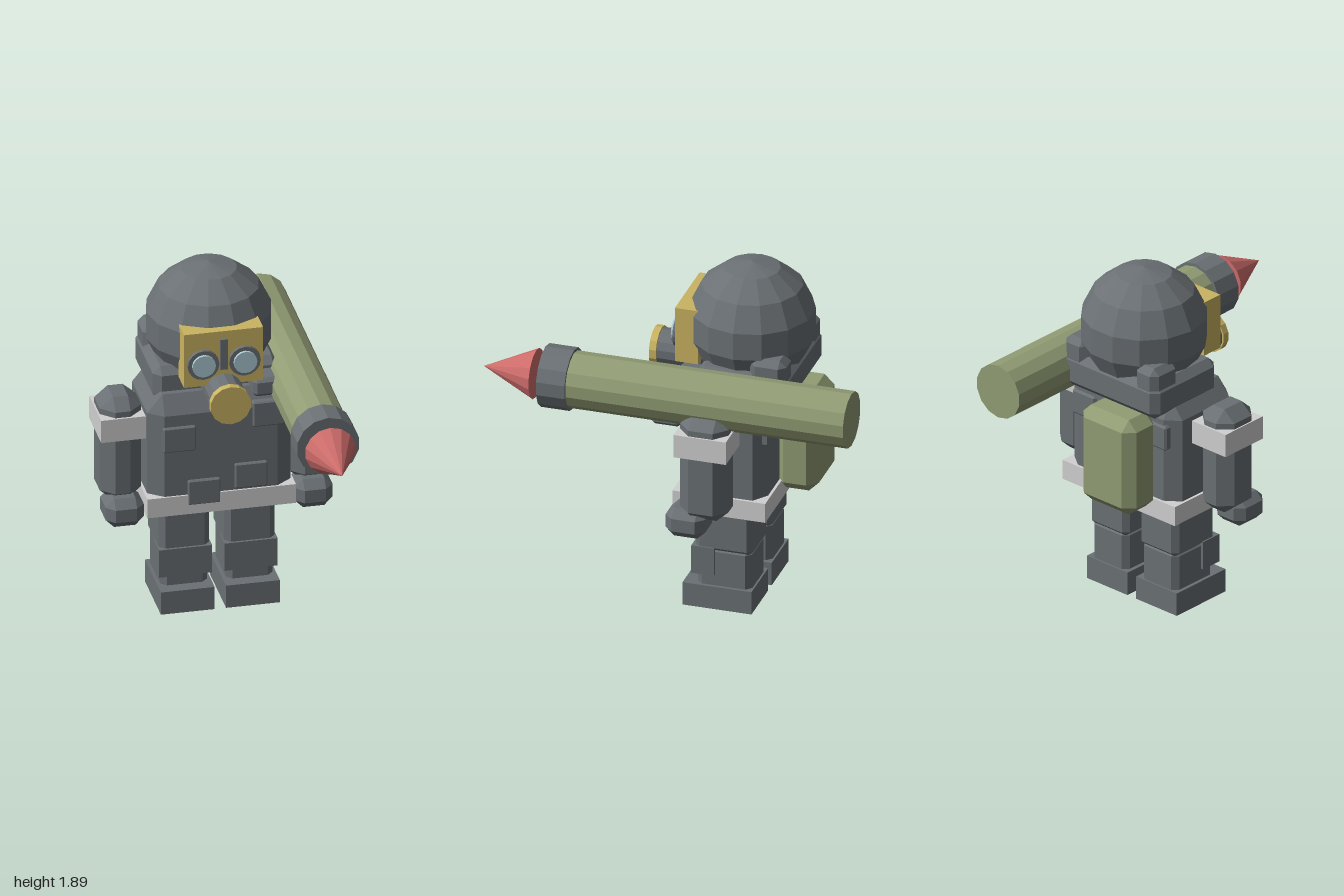
import * as THREE from 'three';
import { ConvexGeometry } from 'three/addons/geometries/ConvexGeometry.js';

const paint = (name, color) => {
  const m = new THREE.MeshStandardMaterial({ color });
  m.name = name;
  m.flatShading = true;
  return m;
};

export function createModel() {
  const model = new THREE.Group();
  model.name = 'trooper';
  const slate = paint('slate', 0x6a7074);
  const white = paint('offWhite', 0xd0d0d0);
  const olive = paint('olive', 0x919c74);
  const gold = paint('gold', 0xcab462);
  const red = paint('red', 0xcc6c6a);
  const glass = paint('glass', 0xabc8d1);

  const add = (name, geometry, material, x = 0, y = 0, z = 0) => {
    const mesh = new THREE.Mesh(geometry, material);
    mesh.name = name;
    mesh.position.set(x, y, z);
    model.add(mesh);
    return mesh;
  };

  // Box given by its limits on each axis
  const box = (name, material, [x0, x1], [y0, y1], [z0, z1]) =>
    add(name, new THREE.BoxGeometry(x1 - x0, y1 - y0, z1 - z0), material,
      (x0 + x1) / 2, (y0 + y1) / 2, (z0 + z1) / 2);

  // Box with chamfered edges; bevel may differ per axis
  const bevelBox = (name, material, [x0, x1], [y0, y1], [z0, z1], bx, by = bx, bz = bx) => {
    const [w, h, d] = [(x1 - x0) / 2, (y1 - y0) / 2, (z1 - z0) / 2];
    const points = [];
    for (const i of [-1, 1]) for (const j of [-1, 1]) for (const k of [-1, 1]) {
      points.push(
        new THREE.Vector3(i * w, j * (h - by), k * (d - bz)),
        new THREE.Vector3(i * (w - bx), j * h, k * (d - bz)),
        new THREE.Vector3(i * (w - bx), j * (h - by), k * d));
    }
    return add(name, new ConvexGeometry(points), material,
      (x0 + x1) / 2, (y0 + y1) / 2, (z0 + z1) / 2);
  };

  // Cylinder or cone lying along z
  const rod = (name, material, x, y, [z0, z1], rBack, rFront = rBack, sides = 14) => {
    const g = new THREE.CylinderGeometry(rFront, rBack, z1 - z0, sides);
    g.rotateX(Math.PI / 2);
    return add(name, g, material, x, y, (z0 + z1) / 2);
  };

  // Helmet and neck guard
  add('helmet', new THREE.SphereGeometry(0.34, 14, 7), slate, 0, 1.555, -0.33);
  bevelBox('neckGuard', slate, [-0.335, 0.335], [1.2, 1.4], [-0.61, -0.12], 0.04);

  // Face mask
  box('mask', gold, [-0.21, 0.21], [1.357, 1.667], [-0.1, 0.025]);
  box('noseRidge', slate, [-0.02, 0.02], [1.45, 1.625], [0, 0.042]);
  rod('filterTube', slate, 0, 1.32, [-0.08, 0.162], 0.1);
  rod('filterCap', gold, 0, 1.32, [0.162, 0.2], 0.109);

  // Torso, belt and backpack
  bevelBox('torso', slate, [-0.38, 0.38], [0.58, 1.27], [-0.51, -0.03], 0.08, 0.1, 0.06);
  box('belt', white, [-0.395, 0.395], [0.59, 0.7], [-0.525, -0.02]);
  bevelBox('backpack', olive, [-0.25, 0.125], [0.64, 1.19], [-0.715, -0.48], 0.055);

  // Pouches on the chest and back
  const chest = [[-0.31, 0.96], [0.165, 1.06], [0.07, 0.71], [-0.18, 0.64]];
  chest.forEach(([x, y]) =>
    bevelBox('chestPouch', slate, [x, x + 0.175], [y, y + 0.145], [-0.08, -0.015], 0.008));

  for (const s of [-1, 1]) {
    const span = (a, b) => (s > 0 ? [a, b] : [-b, -a]);

    // Head details
    bevelBox('earBlock', slate, span(0.17, 0.325), [1.27, 1.49], [-0.605, -0.41], 0.035);
    rod('goggleRim', slate, s * 0.11, 1.488, [0, 0.045], 0.084, 0.084, 16);
    rod('goggleLens', glass, s * 0.11, 1.488, [0.01, 0.06], 0.062, 0.062, 16);

    bevelBox('backPouch', slate, span(0.17, 0.33), [1.0, 1.14], [-0.525, -0.46], 0.01);

    // Arms
    bevelBox('arm', slate, span(0.393, 0.613), [0.64, 1.24], [-0.372, -0.11], 0.07, 0.06, 0.065);
    box('armBand', white, span(0.385, 0.622), [1.018, 1.148], [-0.383, -0.098]);
    bevelBox('hand', slate, span(0.4, 0.603), [0.528, 0.69], [-0.252, -0.035], 0.045);

    // Legs
    bevelBox('thigh', slate, span(0.04, 0.308), [0.32, 0.62], [-0.425, -0.11], 0.03);
    bevelBox('shin', slate, span(0.05, 0.298), [0.1, 0.355], [-0.415, -0.12], 0.03);
    box('kneePad', slate, span(0.033, 0.315), [0.192, 0.352], [-0.22, -0.097]);
    box('foot', slate, span(0.03, 0.316), [0, 0.13], [-0.425, -0.05]);
  }

  // Shoulder launcher
  const [lx, ly] = [0.412, 1.275];
  rod('launcherTube', olive, lx, ly, [-1, 0.51], 0.151);
  rod('launcherMuzzle', slate, lx, ly, [0.51, 0.665], 0.167);
  rod('rocketTip', red, lx, ly, [0.715, 1], 0.135, 0);
  bevelBox('launcherMount', slate, [0.165, 0.4], [1.24, 1.345], [-0.2, 0.0], 0.02);
  bevelBox('launcherGrip', slate, [0.34, 0.48], [1.113, 1.2], [-0.09, 0.075], 0.02);

  return model;
}
